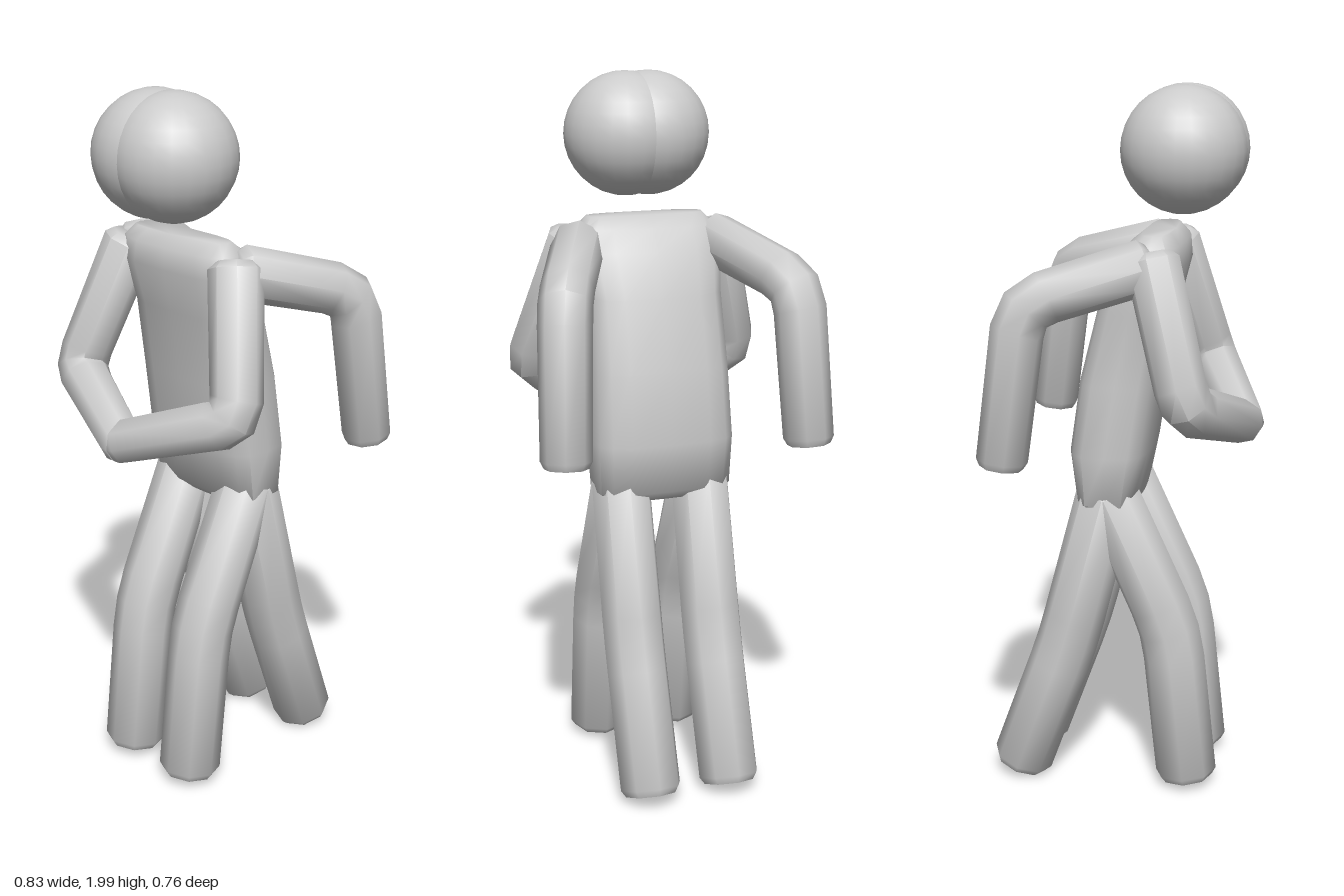
import * as THREE from 'three';
import { toCreasedNormals } from 'three/addons/utils/BufferGeometryUtils.js';

const material = new THREE.MeshStandardMaterial({ color: 0xcccccc });

// Skins a closed surface over a list of rings and caps both ends
function skin(rings) {
  const n = rings[0].length;
  const pos = rings.flat().flatMap((p) => p.toArray());
  const idx = [];
  for (let i = 0; i < rings.length - 1; i++) {
    for (let j = 0; j < n; j++) {
      const k = (j + 1) % n;
      const a = i * n + j, b = i * n + k, c = b + n, d = a + n;
      idx.push(a, b, c, a, c, d);
    }
  }
  const last = (rings.length - 1) * n;
  for (let j = 1; j < n - 1; j++) {
    idx.push(0, j + 1, j, last, last + j, last + j + 1);
  }
  const g = new THREE.BufferGeometry();
  g.setAttribute('position', new THREE.Float32BufferAttribute(pos, 3));
  g.setIndex(idx);
  return toCreasedNormals(g, 0.95);
}

// Eight-sided limb from root to joint to tip, with a rounded bend and a bevelled tip
function limb(root, joint, tip, rRoot, rJoint, rTip, bend) {
  const [a, b, c] = [root, joint, tip].map((p) => new THREE.Vector3(...p));
  const ab = b.clone().sub(a).normalize();
  const bc = c.clone().sub(b).normalize();
  const before = b.clone().addScaledVector(ab, -bend);
  const after = b.clone().addScaledVector(bc, bend);
  const middle = before.clone().add(after).add(b).add(b).multiplyScalar(0.25);
  const mid = ab.clone().add(bc).normalize();
  const stations = [
    [a.clone().addScaledVector(ab, -0.02), ab, rRoot * 0.75],
    [a, ab, rRoot],
    [before, ab.clone().lerp(mid, 0.3).normalize(), rJoint],
    [middle, mid, rJoint],
    [after, bc.clone().lerp(mid, 0.3).normalize(), rJoint],
    [c.clone().addScaledVector(bc, -0.02), bc, rTip],
    [c, bc, rTip * 0.85],
  ];
  const u = new THREE.Vector3(1, 0, 0);
  const rings = stations.map(([p, t, r]) => {
    u.addScaledVector(t, -u.dot(t)).normalize();
    const v = t.clone().cross(u);
    return Array.from({ length: 8 }, (_, j) => {
      const q = (j / 8) * Math.PI * 2;
      return p.clone().addScaledVector(u, r * Math.cos(q)).addScaledVector(v, r * Math.sin(q));
    });
  });
  return skin(rings);
}

// Torso from rounded-box sections: height, back z, front z, half width
function torso() {
  const sections = [
    [0.83, -0.10, 0.01, 0.17],
    [0.86, -0.135, 0.045, 0.2],
    [1.0, -0.153, 0.075, 0.205],
    [1.2, -0.125, 0.105, 0.2],
    [1.4, -0.075, 0.135, 0.195],
    [1.52, -0.03, 0.165, 0.21],
    [1.58, 0.01, 0.16, 0.2],
    [1.612, 0.05, 0.13, 0.17],
  ];
  const squash = (s) => Math.sign(s) * Math.abs(s) ** 0.6;
  return skin(sections.map(([y, back, front, w]) =>
    Array.from({ length: 16 }, (_, j) => {
      const q = (j / 16) * Math.PI * 2;
      const z = (front + back) / 2 + squash(Math.cos(q)) * (front - back) / 2;
      return new THREE.Vector3(squash(Math.sin(q)) * w, y, z);
    })));
}

export function createModel() {
  const model = new THREE.Group();
  const add = (name, geometry) => {
    const mesh = new THREE.Mesh(geometry, material);
    mesh.name = name;
    model.add(mesh);
    return mesh;
  };

  add('torso', torso());

  for (const [side, s] of [['left', 1], ['right', -1]]) {
    // Overlapping twin heads
    add(side + 'Head', new THREE.SphereGeometry(0.172, 24, 16)).position.set(s * 0.034, 1.828, 0.153);

    // Arms folded in front, hands meeting in the middle
    add(side + 'FrontArm', limb([s * 0.205, 1.55, 0.095], [s * 0.315, 1.18, 0.2], [s * -0.02, 1.065, 0.33],
      0.075, 0.072, 0.062, 0.06));

    // Arms reaching back, forearms hanging
    add(side + 'BackArm', limb([s * 0.2, 1.535, 0.07], [s * 0.33, 1.448, -0.235], [s * 0.348, 1.01, -0.29],
      0.075, 0.073, 0.07, 0.07));

    // Striding legs
    add(side + 'FrontLeg', limb([s * 0.118, 0.88, -0.04], [s * 0.118, 0.48, 0.14], [s * 0.118, 0.03, 0.188],
      0.085, 0.088, 0.088, 0.08));
    add(side + 'BackLeg', limb([s * 0.118, 0.88, -0.045], [s * 0.118, 0.43, -0.16], [s * 0.118, 0.032, -0.305],
      0.085, 0.088, 0.088, 0.08));
  }
  return model;
}
